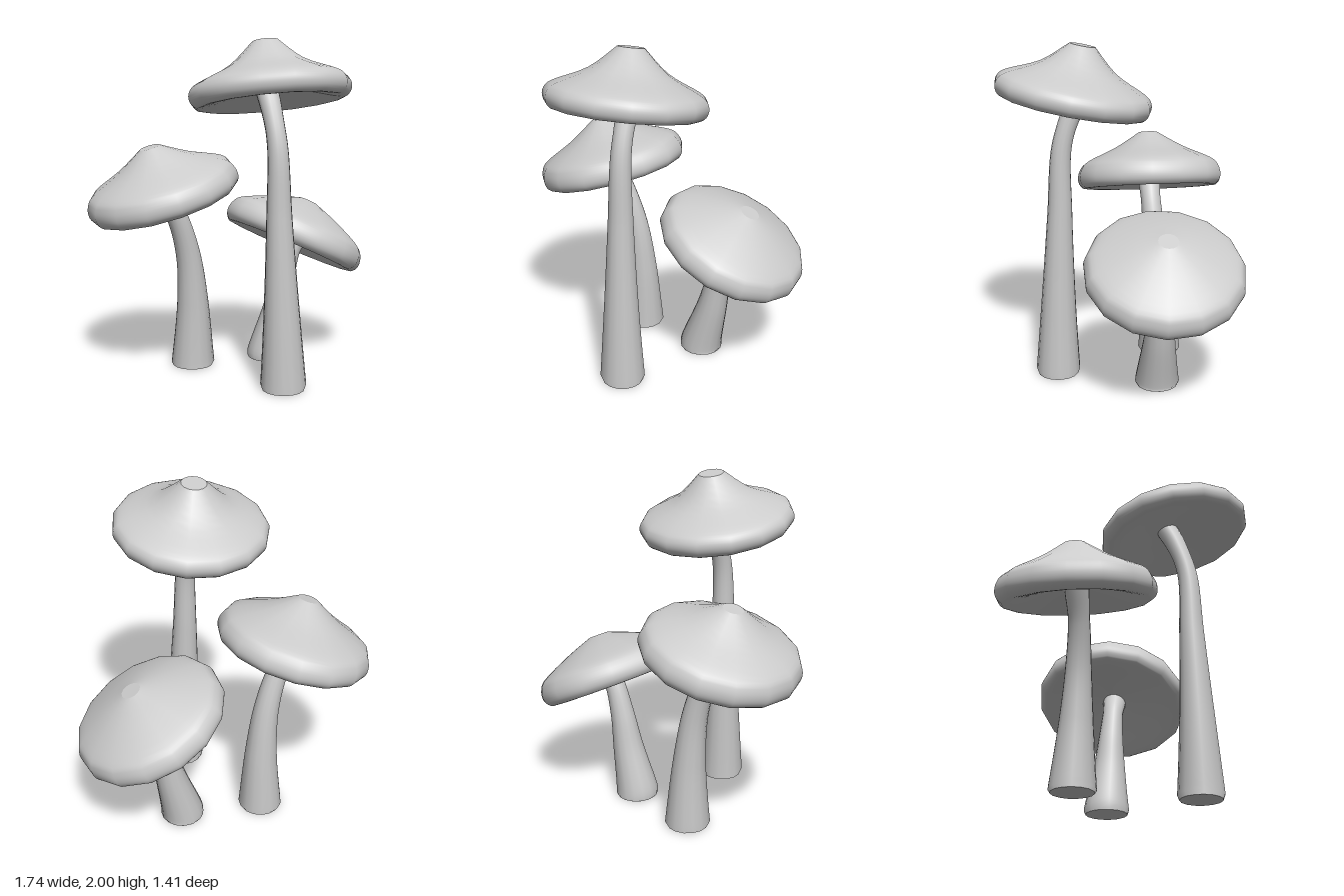
import * as THREE from 'three';

const SIDES = 15;
const BASE_RADIUS = 0.136;
const material = new THREE.MeshStandardMaterial({ color: 0xcccccc, side: THREE.DoubleSide });
const { lerp, smoothstep, degToRad } = THREE.MathUtils;

// Stem paths run from the ground into the cap
const mushrooms = [
  {
    name: 'tallMushroom',
    path: [[0.035, 0, 0.37], [0.028, 0.4, 0.363], [0.018, 1, 0.345], [0.014, 1.4, 0.328], [0.01, 1.6, 0.268], [0.008, 1.74, 0.2]],
    neck: 0.053,
    cap: { tipRadius: 0.075, height: 0.29, lift: 0, position: [0.005, 1.7, 0.255], tiltX: -11, tiltZ: 0 },
  },
  {
    name: 'rightMushroom',
    path: [[-0.228, 0, -0.295], [-0.232, 0.4, -0.283], [-0.265, 0.7, -0.27], [-0.34, 0.94, -0.255], [-0.445, 1.13, -0.25]],
    neck: 0.059,
    cap: { tipRadius: 0.06, height: 0.287, lift: 0.028, position: [-0.43, 1.098, -0.255], tiltX: 0, tiltZ: 17 },
  },
  {
    name: 'leftMushroom',
    path: [[0.26, 0, -0.205], [0.328, 0.3, -0.205], [0.37, 0.5, -0.205], [0.425, 0.68, -0.205], [0.48, 0.78, -0.205]],
    neck: 0.059,
    cap: { tipRadius: 0.058, height: 0.25, lift: 0.028, position: [0.445, 0.762, -0.212], tiltX: 0, tiltZ: -26.5 },
  },
];

// Thick bevelled foot, slender neck, slight flare under the cap
function stemRadius(y, height, neck) {
  const t = Math.min(1, y / height);
  const taper = lerp(neck, BASE_RADIUS, (1 - t) ** 1.6);
  const bevel = lerp(0.9, 1, Math.min(1, y / 0.02));
  return taper * bevel + 0.012 * smoothstep(t, 0.85, 1);
}

// Unit tube along the stem path, each ring scaled to its radius
function stemGeometry(path, neck) {
  const steps = 60;
  const points = path.map((p) => new THREE.Vector3(...p));
  const height = points[points.length - 1].y;
  points.splice(1, 0, points[0].clone().setY(0.03)); // leaves the ground upright
  const curve = new THREE.CatmullRomCurve3(points);
  const geometry = new THREE.TubeGeometry(curve, steps, 1, SIDES);
  const pos = geometry.attributes.position;
  const v = new THREE.Vector3();
  for (let i = 0; i <= steps; i++) {
    const centre = curve.getPointAt(i / steps);
    const r = stemRadius(centre.y, height, neck);
    for (let j = 0; j <= SIDES; j++) {
      const k = i * (SIDES + 1) + j;
      v.fromBufferAttribute(pos, k).sub(centre).multiplyScalar(r).add(centre);
      pos.setXYZ(k, v.x, Math.max(0, v.y), v.z);
    }
  }
  return geometry;
}

// Smooth lathe: hollow underside, rounded rim, sloping flank, creased flat tip
function capGeometry({ tipRadius, height, lift }) {
  const profile = [
    [0, 0.035], [0.2, -0.01], [0.39, -0.06], [0.44, -0.048], [0.46, -0.005], [0.448, 0.04 + lift / 2],
    [0.4, 0.078 + lift], [0.22, 0.162 + lift], [tipRadius, height],
  ];
  const curve = new THREE.SplineCurve(profile.map(([r, h]) => new THREE.Vector2(r, h)));
  const points = curve.getPoints(32);
  points.push(new THREE.Vector2(tipRadius, height), new THREE.Vector2(0, height));
  return new THREE.LatheGeometry(points, SIDES, Math.PI / SIDES);
}

function addMesh(group, name, geometry) {
  const mesh = new THREE.Mesh(geometry, material);
  mesh.name = name;
  group.add(mesh);
  return mesh;
}

export function createModel() {
  const model = new THREE.Group();
  model.name = 'mushroomCluster';
  for (const { name, path, neck, cap } of mushrooms) {
    const group = new THREE.Group();
    group.name = name;
    addMesh(group, 'stem', stemGeometry(path, neck));

    // Flat foot closing the stem
    const foot = addMesh(group, 'stemBase', new THREE.CircleGeometry(BASE_RADIUS * 0.9, SIDES));
    foot.rotation.x = Math.PI / 2;
    foot.position.set(...path[0]);

    // Tilted cap
    const top = addMesh(group, 'cap', capGeometry(cap));
    top.position.set(...cap.position);
    top.rotation.set(degToRad(cap.tiltX), 0, degToRad(cap.tiltZ));
    model.add(group);
  }
  return model;
}
